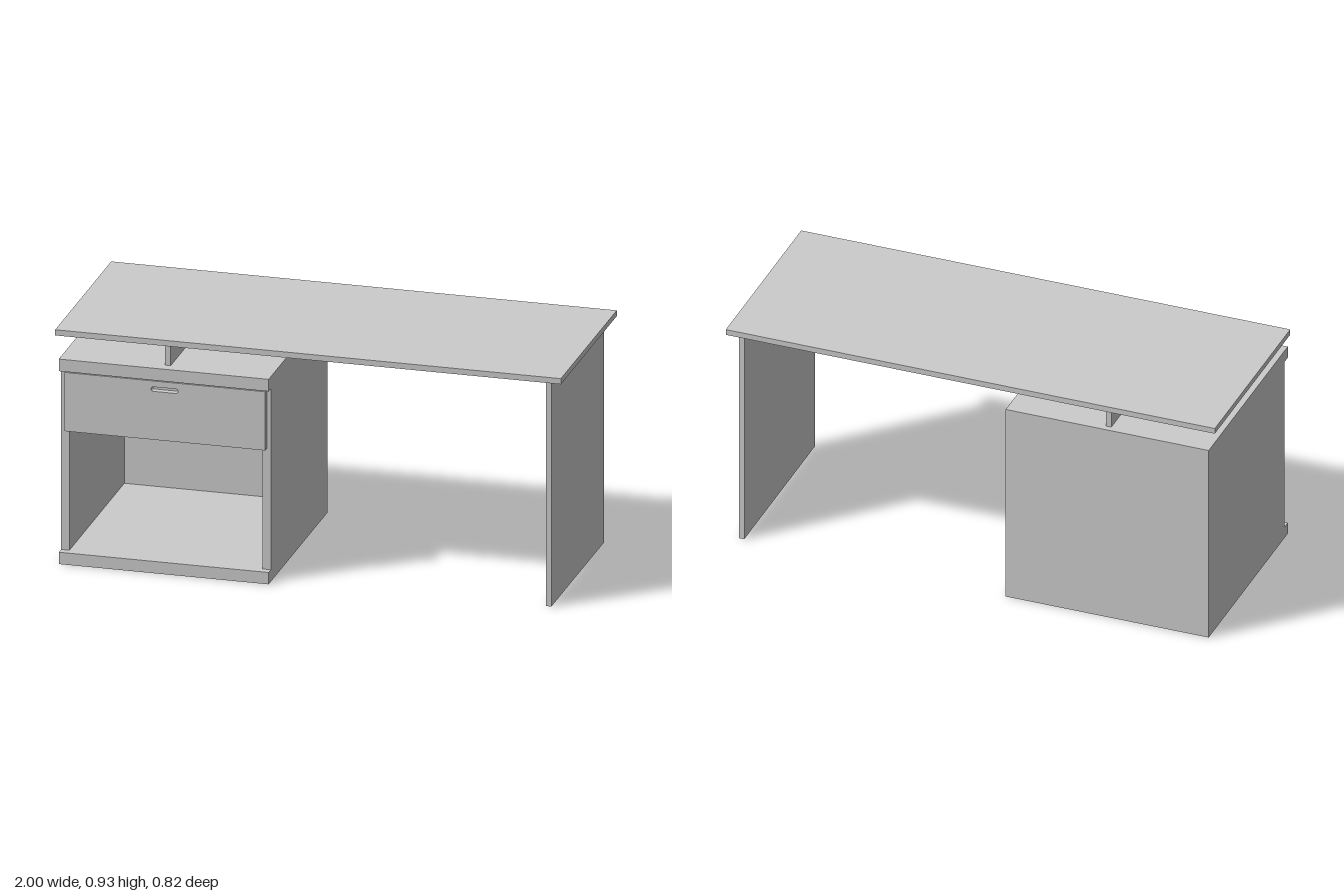
import * as THREE from 'three';

const material = new THREE.MeshStandardMaterial({ color: 0xcccccc });

// Box given by its extents along each axis
function board(name, [x0, x1], [y0, y1], [z0, z1]) {
  const mesh = new THREE.Mesh(new THREE.BoxGeometry(x1 - x0, y1 - y0, z1 - z0), material);
  mesh.position.set((x0 + x1) / 2, (y0 + y1) / 2, (z0 + z1) / 2);
  mesh.name = name;
  return mesh;
}

// Outer frame of the pedestal, open at the front
function createCabinet() {
  const cabinet = new THREE.Group();
  cabinet.name = 'cabinet';
  const x = [-0.975, -0.145], sideY = [0.048, 0.782];
  cabinet.add(
    board('cabinetBottom', x, [0, 0.048], [-0.411, 0.413]),
    board('cabinetTop', x, [0.782, 0.831], [-0.411, 0.413]),
    board('cabinetRightSide', [-0.975, -0.942], sideY, [-0.411, 0.381]),
    board('cabinetLeftSide', [-0.178, -0.145], sideY, [-0.411, 0.381]),
    board('cabinetBack', [-0.942, -0.178], sideY, [-0.411, -0.39]),
  );
  return cabinet;
}

// Drawer: slotted front panel and an open tray behind it
function createDrawer() {
  const drawer = new THREE.Group();
  drawer.name = 'drawer';
  const shape = new THREE.Shape();
  shape.moveTo(-0.954, 0.54);
  shape.lineTo(-0.16, 0.54);
  shape.lineTo(-0.16, 0.778);
  shape.lineTo(-0.954, 0.778);
  shape.closePath();

  // Finger slot with rounded ends
  const r = 0.009, y = 0.745, left = -0.602, right = -0.513;
  const slot = new THREE.Path();
  slot.moveTo(left, y - r);
  slot.lineTo(right, y - r);
  slot.absarc(right, y, r, -Math.PI / 2, Math.PI / 2, false);
  slot.lineTo(left, y + r);
  slot.absarc(left, y, r, Math.PI / 2, Math.PI * 1.5, false);
  shape.holes.push(slot);

  const front = new THREE.Mesh(
    new THREE.ExtrudeGeometry(shape, { depth: 0.027, bevelEnabled: false, curveSegments: 8 }), material);
  front.position.z = 0.383;
  front.name = 'drawerFront';

  const wallY = [0.565, 0.765], z = [-0.37, 0.383];
  drawer.add(
    front,
    board('drawerBottom', [-0.935, -0.185], [0.552, 0.565], z),
    board('drawerRightSide', [-0.935, -0.917], wallY, z),
    board('drawerLeftSide', [-0.203, -0.185], wallY, z),
    board('drawerInnerFront', [-0.917, -0.203], wallY, [0.365, 0.383]),
    board('drawerBack', [-0.917, -0.203], wallY, [-0.37, -0.352]),
  );
  return drawer;
}

export function createModel() {
  const desk = new THREE.Group();
  desk.name = 'desk';
  desk.add(
    board('deskTop', [-1, 1], [0.911, 0.934], [-0.411, 0.375]),
    board('legPanel', [0.936, 0.958], [0, 0.911], [-0.381, 0.358]),
    board('topSupport', [-0.567, -0.545], [0.831, 0.911], [-0.386, 0.368]),
    createCabinet(),
    createDrawer(),
  );
  return desk;
}
